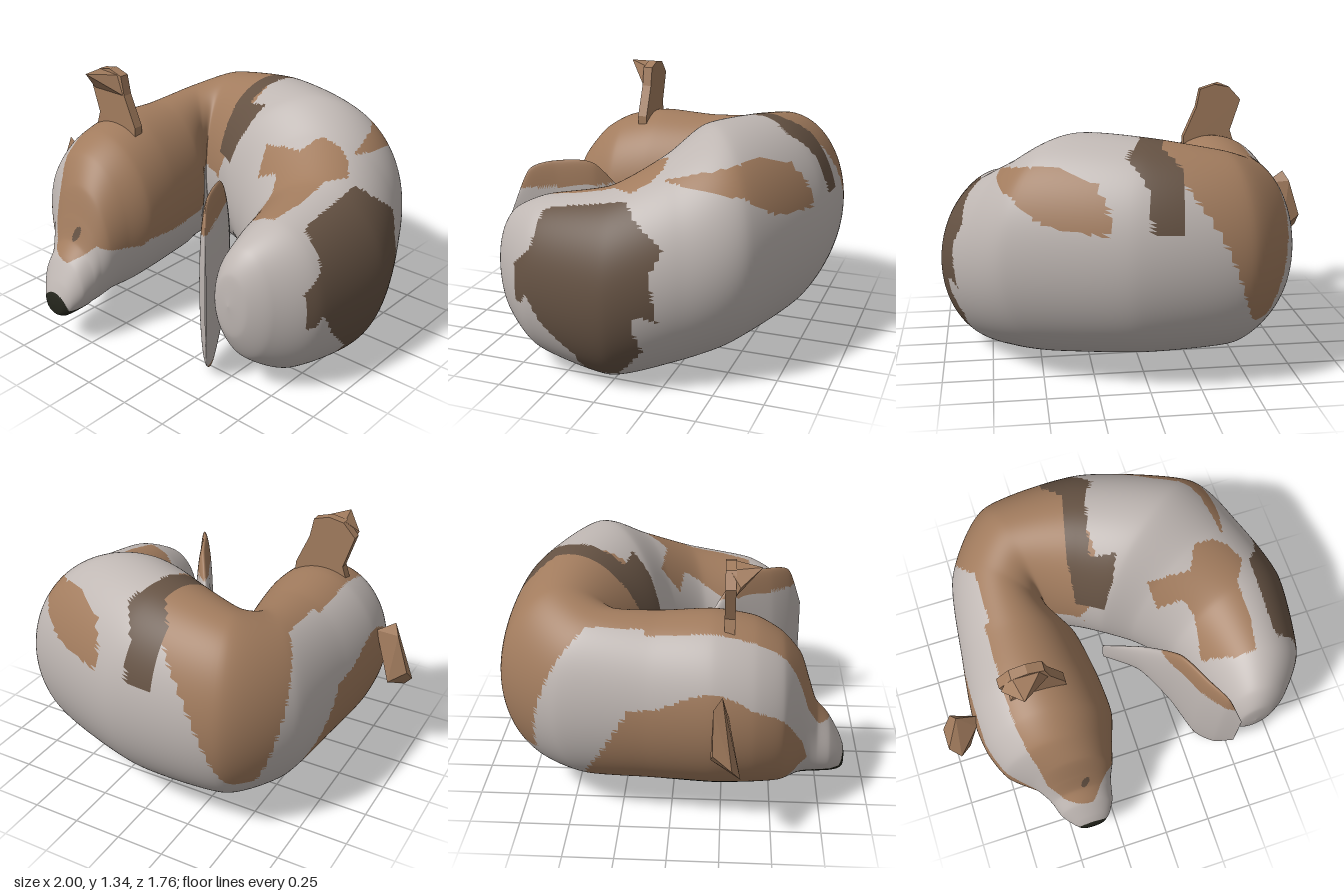
import * as THREE from 'three';
import { ConvexGeometry } from 'three/addons/geometries/ConvexGeometry.js';

const mat = (name, color) => {
  const m = new THREE.MeshStandardMaterial({ color, side: THREE.DoubleSide });
  m.name = name;
  return m;
};

// Even-odd test for a patch outline [[a, b], ...]
function inside(poly, a, b) {
  let hit = false;
  for (let i = 0, j = poly.length - 1; i < poly.length; j = i++) {
    const [ax, ay] = poly[i], [bx, by] = poly[j];
    if ((ay > b) !== (by > b) && a < ((bx - ax) * (b - ay)) / (by - ay) + ax) hit = !hit;
  }
  return hit;
}
const oval = (a, b, ca, cb, ra, rb) => Math.hypot((a - ca) / ra, (b - cb) / rb) < 1;

// Sweep of upright oval sections: [innerX, innerZ, outerX, outerZ, bottom, top].
// Triangles are grouped by the colour index that paint(x, y, z) returns.
function sweep(sections, steps, sides, paint) {
  const curve = pick => new THREE.CatmullRomCurve3(sections.map(pick), false, 'catmullrom', 0.35);
  const low = curve(s => new THREE.Vector3(s[0], s[4], s[1]));
  const high = curve(s => new THREE.Vector3(s[2], s[5], s[3]));
  const pos = [];
  for (let i = 0; i <= steps; i++) {
    const a = low.getPoint(i / steps), b = high.getPoint(i / steps);
    for (let j = 0; j < sides; j++) {
      const t = (j / sides) * Math.PI * 2;
      const c = 0.5 + 0.5 * Math.cos(t), s = 0.5 + 0.5 * Math.sin(t);
      pos.push(a.x + (b.x - a.x) * c, a.y + (b.y - a.y) * s, a.z + (b.z - a.z) * c);
    }
  }
  const buckets = [[], [], [], []];
  const tri = (...v) => {
    const mid = k => (pos[v[0] * 3 + k] + pos[v[1] * 3 + k] + pos[v[2] * 3 + k]) / 3;
    buckets[paint(mid(0), mid(1), mid(2))].push(...v);
  };
  for (let i = 0; i < steps; i++) for (let j = 0; j < sides; j++) {
    const a = i * sides + j, b = i * sides + (j + 1) % sides;
    tri(a, a + sides, b);
    tri(b, a + sides, b + sides);
  }
  const g = new THREE.BufferGeometry();
  g.setAttribute('position', new THREE.Float32BufferAttribute(pos, 3));
  g.setIndex(buckets.flat());
  let start = 0;
  buckets.forEach((b, k) => { if (b.length) g.addGroup(start, b.length, k); start += b.length; });
  g.computeVertexNormals();
  return g;
}

// Patch outlines: top ones in (x, z), flank ones in (z, y), face and cheek in (x, y)
const backStripe = [[-0.15, -0.9], [0.02, -0.9], [0.01, -0.8], [0.04, -0.75], [0.1, -0.66], [0.04, -0.55], [0, -0.4], [-0.03, -0.27],
  [0.1, -0.24], [0.05, -0.14], [-0.02, -0.08], [-0.15, -0.08], [-0.14, -0.28], [-0.1, -0.45], [-0.06, -0.6], [-0.14, -0.72]];
const flankBand = [[-0.22, 1.02], [-0.4, 1.06], [-0.6, 1.1], [-0.72, 1.04], [-0.83, 0.88], [-0.82, 0.82], [-0.72, 0.85], [-0.6, 0.96], [-0.4, 1.0]];
const haunchSpot = [[0.22, -0.1], [0.45, -0.08], [0.5, -0.19], [0.6, -0.2], [0.68, -0.17], [0.74, -0.08], [0.67, 0.02],
  [0.68, 0.2], [0.65, 0.38], [0.55, 0.38], [0.4, 0.3], [0.42, 0.1], [0.38, 0.02], [0.25, 0]];
const rumpPatch = [[0.2, 0.9], [0.1, 0.93], [0, 0.95], [-0.08, 0.94], [-0.15, 0.87], [-0.3, 0.76], [-0.25, 0.65], [-0.28, 0.42], [-0.22, 0.45], [-0.17, 0.43],
  [-0.2, 0.25], [-0.05, 0.08], [0.12, 0.08], [0.14, 0.2], [0.3, 0.35], [0.37, 0.48], [0.4, 0.42], [0.44, 0.42], [0.45, 0.6], [0.35, 0.7], [0.33, 0.85]];
const facePatch = [[-0.64, 1.3], [-0.63, 1], [-0.58, 0.8], [-0.56, 0.6], [-0.5, 0.49], [-0.36, 0.46],
  [-0.3, 0.5], [-0.25, 0.55], [-0.15, 0.5], [-0.11, 0.56], [-0.11, 1.3]];
const cheekPatch = [[-1, 0.88], [-0.8, 0.88], [-0.8, 0.72], [-0.72, 0.6], [-0.62, 0.46], [-0.58, 0.34], [-0.62, 0.1], [-1, 0.1]];

// 0 coat, 1 tan, 2 dark brown, 3 black
function coatPaint(x, y, z) {
  if (z > 0.8 && oval(x, y, -0.385, 0.225, 0.085, 0.085)) return 3;              // nose
  if (y < 0.225 && x < 0 && (z > 0.6 || (z > 0.48 && Math.abs(x + 0.43) < 0.07))) return 3; // chin
  if (y < 0.27 && oval(x, z, -0.61, 0.2, 0.08, 0.28)) return 3;                  // lower jaw
  if (y < 0.29 && oval(x, z, -0.42, -0.54, 0.09, 0.1)) return 3;                 // under the neck
  if (z > 0.5 && oval(x + (y - 0.59) * -0.3, y, -0.37, 0.59, 0.022, 0.04)) return 2; // eye
  if (y < 0.3 && x < 0 && oval(x, z, -0.335, 0.12, 0.035, 0.27)) return oval(x, z, -0.34, 0.18, 0.026, 0.11) ? 2 : 1;
  if (y < 0.16 && oval(x, z, 0.68, 0.13, 0.14, 0.13)) return oval(x, z, 0.67, 0.14, 0.07, 0.06) ? 2 : 1;
  if (x > 0.78 && inside(rumpPatch, z, y)) return 2;
  if (y > 0.83 && inside(backStripe, x, z)) return 2;
  if (x > 0.2 && inside(flankBand, z, y)) return 1;
  if (y > 0.6 && inside(haunchSpot, x, z)) return 1;
  if (z > -0.12 && inside(facePatch, x, y)) return 1;
  if (z > -0.42 && y < 0.28 + (z + 0.42) * 1.8 && inside(cheekPatch, x, y)) return 1;
  // saddle narrowing down the back of the neck
  if (x < 0 && z <= -0.12 && y > 0.36) {
    if (x + z * 0.9 > -0.62) return y > Math.max(0.7, 0.72 + (x + 0.13) * 2.5) && x > -0.6 ? 1 : 0;
    const u = (z - x) * Math.SQRT1_2, k = Math.min(1, (y - 0.36) / 0.64);
    return (u > -0.16 - 0.28 * Math.sqrt(k) && u < -0.06 + 0.2 * k) || (y > 0.8 && x > -0.6 && u > 0) ? 1 : 0;
  }
  return 0;
}

export function createModel() {
  const coat = mat('paleCoat', 0xbfb7b3), tan = mat('tan', 0xa27c5e);
  const dark = mat('darkBrown', 0x655243), black = mat('black', 0x25261d);
  const palette = [coat, tan, dark, black];
  const group = new THREE.Group();
  const add = (name, geometry, material) => {
    const m = new THREE.Mesh(geometry, material);
    m.name = name;
    group.add(m);
  };

  // Curled body from haunch round the back to the head and nose
  add('body', sweep([
    [0.6, 0.65, 0.6, 0.65, 0.52, 0.52],
    [0.51, 0.635, 0.7, 0.63, 0.35, 0.68],
    [0.45, 0.56, 0.8, 0.56, 0.21, 0.79],
    [0.39, 0.4, 0.94, 0.37, 0.09, 0.88],
    [0.3, 0.15, 1.0, -0.05, 0.01, 0.95],
    [0.12, 0.0, 0.88, -0.37, 0.05, 1.08],
    [-0.03, -0.07, 0.69, -0.65, 0.1, 1.21],
    [-0.15, -0.14, 0.1, -0.87, 0.14, 1.2],
    [-0.29, -0.21, -0.47, -0.85, 0.17, 1.14],
    [-0.26, -0.16, -0.73, -0.55, 0.18, 1.08],
    [-0.18, -0.05, -0.8, -0.1, 0.18, 1.06],
    [-0.14, 0.2, -0.83, 0.2, 0.17, 1.07],
    [-0.13, 0.4, -0.81, 0.4, 0.17, 1.03],
    [-0.17, 0.53, -0.75, 0.54, 0.17, 0.95],
    [-0.2, 0.63, -0.63, 0.63, 0.17, 0.82],
    [-0.225, 0.68, -0.585, 0.68, 0.17, 0.67],
    [-0.235, 0.72, -0.56, 0.72, 0.17, 0.55],
    [-0.25, 0.785, -0.535, 0.785, 0.17, 0.47],
    [-0.285, 0.84, -0.485, 0.84, 0.17, 0.37],
    [-0.325, 0.868, -0.445, 0.868, 0.19, 0.3],
    [-0.385, 0.875, -0.385, 0.875, 0.245, 0.245],
  ], 300, 180, coatPaint), palette);

  // Thin tail lying along the inside of the haunch: [x, z, half thickness, bottom, top]
  const tail = [
    [-0.04, -0.03, 0.006, 0.25, 0.44], [0.13, 0.13, 0.03, 0.32, 0.69], [0.26, 0.31, 0.045, 0.17, 0.94],
    [0.35, 0.49, 0.045, 0.01, 0.96], [0.42, 0.6, 0.03, 0.1, 0.92], [0.485, 0.675, 0.003, 0.32, 0.7],
  ].map(([x, z, h, y0, y1]) => [x + 0.8 * h, z - 0.6 * h, x - 0.8 * h, z + 0.6 * h, y0, y1]);
  add('tail', sweep(tail, 80, 80, (x, y, z) => (y > 0.83 || (y < 0.06 && z > 0.4) ? 1 : 0)), palette);

  // Ears, one upright with a folded tip and one drooping
  const hull = pts => new ConvexGeometry(pts.map(p => new THREE.Vector3(...p)));
  const ear = new THREE.Shape([[-0.62, 1.0], [-0.59, 1.09], [-0.645, 1.26], [-0.58, 1.33], [-0.5, 1.345],
    [-0.42, 1.32], [-0.4, 1.22], [-0.33, 1.06], [-0.33, 1.0]].map(p => new THREE.Vector2(...p)));
  const earGeometry = new THREE.ExtrudeGeometry(ear, { depth: 0.05, bevelEnabled: false });
  earGeometry.translate(0, 0, 0.25);
  add('uprightEar', earGeometry, tan);
  add('uprightEarTip', hull([[-0.58, 1.33, 0.27], [-0.42, 1.32, 0.27], [-0.55, 1.335, 0.42], [-0.64, 1.27, 0.32],
    [-0.62, 1.22, 0.3], [-0.41, 1.22, 0.3]]), tan);
  add('droopingEar', hull([[-0.8, 0.78, 0.25], [-0.9, 0.85, 0.25], [-0.93, 0.8, 0.21], [-0.995, 0.6, 0.21],
    [-1, 0.52, 0.3], [-0.95, 0.45, 0.34], [-0.89, 0.46, 0.3], [-0.9, 0.52, 0.2], [-0.82, 0.7, 0.28]]), tan);

  return group;
}
